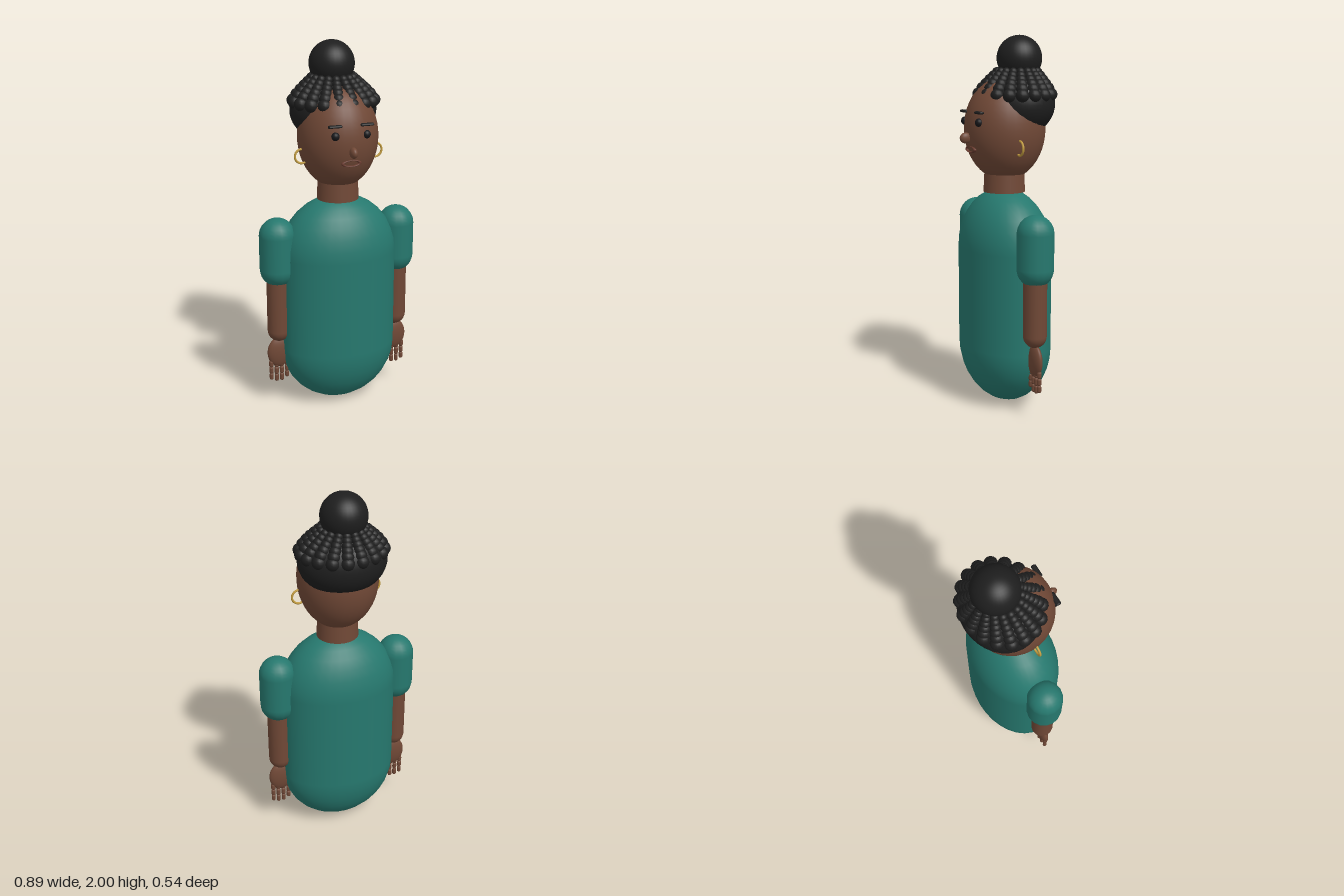
import * as THREE from 'three';

const flat = (name, color) => {
  const m = new THREE.MeshStandardMaterial({ color });
  m.name = name;
  return m;
};

export function createModel() {
  const teal = flat('teal cloth', 0x26786e);
  const skin = flat('brown skin', 0x704836);
  const lip = flat('lip brown', 0x6a3c30);
  const black = flat('black hair', 0x1e1e1e);
  const dark = flat('dark eye', 0x17171a);
  const gold = flat('gold', 0xc09a3e);

  const model = new THREE.Group();
  model.name = 'figure';

  const add = (name, geo, mat, pos, scale = [1, 1, 1], parent = model) => {
    const m = new THREE.Mesh(geo, mat);
    m.name = name;
    m.position.set(...pos);
    m.scale.set(...scale);
    parent.add(m);
    return m;
  };
  const ball = new THREE.SphereGeometry(1, 32, 24);
  const smallBall = new THREE.SphereGeometry(1, 14, 10);
  // Upright capsule given by its lowest and highest points
  const capsule = (name, mat, r, y0, y1, x, z = 0, parent = model, sides = 16) =>
    add(name, new THREE.CapsuleGeometry(r, y1 - y0 - 2 * r, 8, sides), mat,
      [x, (y0 + y1) / 2, z], [1, 1, 1], parent);

  // Torso, neck and head
  capsule('torso', teal, 0.325, 0.005, 1.19, 0, 0.003, model, 32).scale.z = 0.71;
  add('neck', new THREE.CylinderGeometry(0.105, 0.113, 0.16, 32), skin, [0, 1.25, 0.003]);
  add('head', ball, skin, [0, 1.51, 0], [0.215, 0.28, 0.22]);

  // Hair cap and top bun
  add('hairCap', ball, black, [0, 1.64, -0.068], [0.235, 0.18, 0.2]);
  add('hairBun', ball, black, [0, 1.88, -0.088], [0.122, 0.122, 0.122]);

  // Beaded braids running from the hairline up to the bun
  const braids = new THREE.Group();
  braids.name = 'braids';
  model.add(braids);
  for (let i = 0; i < 18; i++) {
    const a = (10 + i * 20) * Math.PI / 180;
    for (let k = 0; k < 6; k++) {
      const t = k / 5;
      const r = THREE.MathUtils.lerp(0.036, 0.022, t);
      const rx = THREE.MathUtils.lerp(0.216, 0.115, t);
      const rz = THREE.MathUtils.lerp(0.185, 0.11, t);
      add('braidBead', smallBall, black,
        [rx * Math.sin(a), 1.69 + 0.12 * t ** 0.85, -0.06 - 0.015 * t + rz * Math.cos(a)],
        [r, r, r], braids);
    }
  }

  // Nose and mouth
  add('nose', ball, skin, [0, 1.467, 0.232], [0.02, 0.029, 0.033]);
  add('mouth', new THREE.TorusGeometry(0.046, 0.01, 10, 32), lip, [0, 1.406, 0.201], [1, 0.34, 1]);

  for (const s of [1, -1]) {
    const side = s > 0 ? 'left' : 'right';

    // Eye, brow and hoop earring
    add(side + 'Eye', smallBall, dark, [s * 0.085, 1.551, 0.196], [0.022, 0.022, 0.02]);
    const brow = add(side + 'Brow', new THREE.CapsuleGeometry(0.008, 0.06, 4, 10), black,
      [s * 0.087, 1.602, 0.196], [1, 1, 1.8]);
    brow.rotation.z = Math.PI / 2;
    add(side + 'Earring', new THREE.TorusGeometry(0.038, 0.006, 10, 32), gold, [s * 0.207, 1.42, 0.02]);

    // Sleeve, forearm and palm
    const arm = new THREE.Group();
    arm.name = side + 'Arm';
    model.add(arm);
    capsule('sleeve', teal, 0.098, 0.71, 1.09, s * 0.345, 0.002, arm);
    capsule('forearm', skin, 0.063, 0.385, 0.8, s * 0.345, 0.002, arm);
    add('palm', ball, skin, [s * 0.345, 0.315, 0.002], [0.068, 0.088, 0.027], arm);

    // Four fingers of three joints each
    [0.155, 0.138, 0.138, 0.15].forEach((tip, f) => {
      const x = s * (0.303 + f * 0.03);
      const step = (0.265 - tip) / 3;
      for (let j = 0; j < 3; j++) {
        const y = tip + j * step;
        capsule('fingerJoint', skin, 0.0115 + j * 0.0008, y, y + step + 0.004, x, 0.002, arm, 10);
      }
    });
  }
  return model;
}
